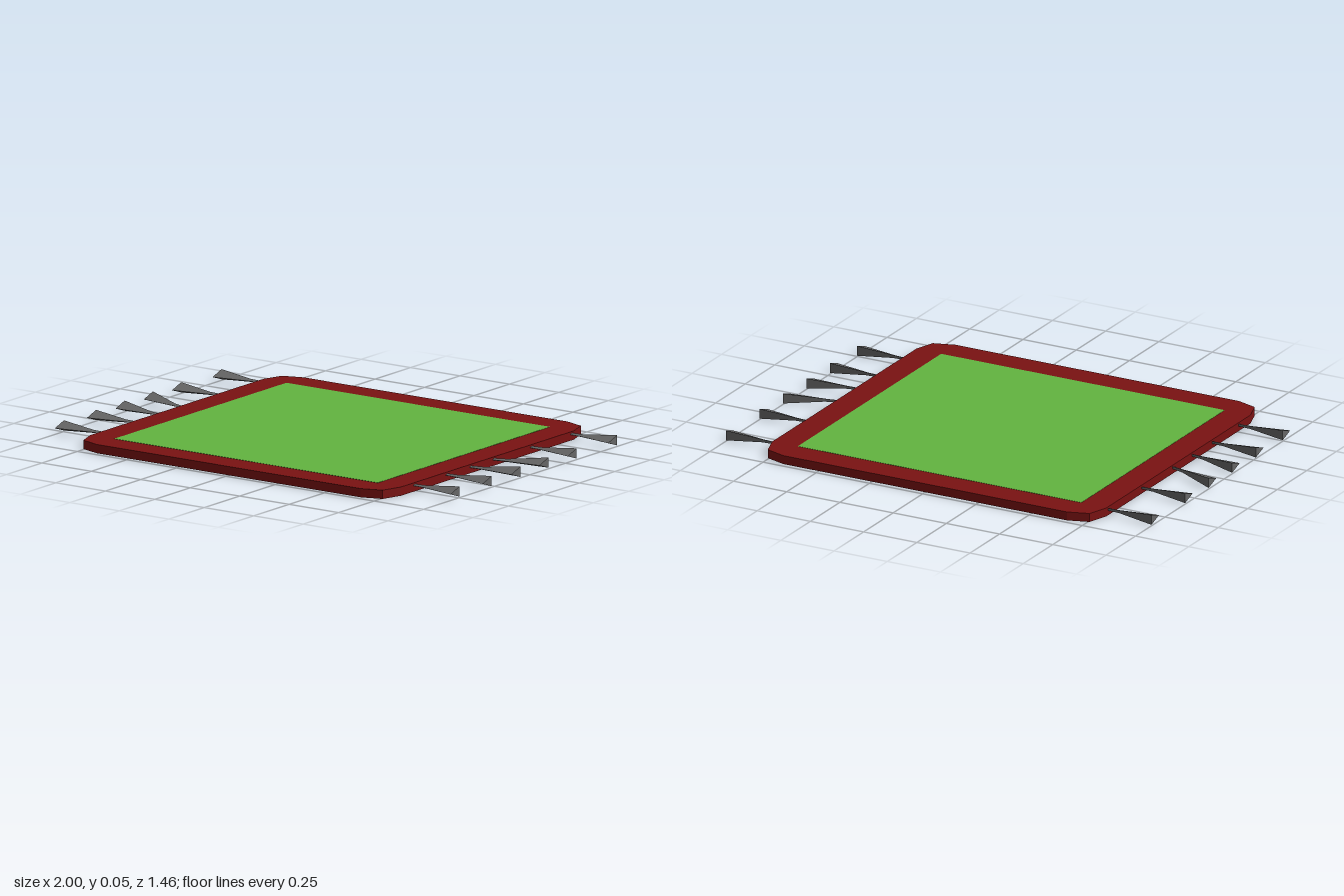
import * as THREE from 'three';

const THICK = 0.037;

const material = (color) => new THREE.MeshStandardMaterial({ color, flatShading: true });

// Three-sided tassel: triangular sections, apex towards +z, flaring outwards along +x
function tasselGeometry(rootZ, endZ) {
  const midZ = rootZ + (endZ - rootZ) * 0.25;
  // x, centre z, width in z, height in y
  const sections = [
    [0.775, rootZ, 0.012, 0.009],
    [0.84, midZ, 0.017, 0.013],
    [1.0, endZ, 0.064, 0.043],
  ];
  const y = 0.026;
  const rings = sections.map(([x, z, w, h]) => [
    [x, y, z + w / 2],
    [x, y - h / 2, z - w / 2],
    [x, y + h / 2, z - w / 2],
  ]);
  const pos = [];
  const tri = (a, b, c) => pos.push(...a, ...b, ...c);
  for (let i = 0; i < rings.length - 1; i++) {
    for (let j = 0; j < 3; j++) {
      const k = (j + 1) % 3;
      const [a, b] = [rings[i][j], rings[i][k]];
      const [c, d] = [rings[i + 1][j], rings[i + 1][k]];
      tri(a, b, d);
      tri(a, d, c);
    }
  }
  const first = rings[0];
  const last = rings[rings.length - 1];
  tri(first[0], first[2], first[1]);
  tri(last[0], last[1], last[2]);
  const geometry = new THREE.BufferGeometry();
  geometry.setAttribute('position', new THREE.Float32BufferAttribute(pos, 3));
  geometry.computeVertexNormals();
  return geometry;
}

export function createModel() {
  const rug = new THREE.Group();
  rug.name = 'rug';

  // Red slab with cut corners
  const corner = [[0.785, 0.61], [0.756, 0.699], [0.667, 0.728]];
  const mirrored = corner.slice().reverse();
  const outline = [
    ...corner,
    ...mirrored.map(([x, z]) => [-x, z]),
    ...corner.map(([x, z]) => [-x, -z]),
    ...mirrored.map(([x, z]) => [x, -z]),
  ].map(([x, z]) => new THREE.Vector2(x, z));
  const slabGeometry = new THREE.ExtrudeGeometry(new THREE.Shape(outline), {
    depth: THICK,
    bevelEnabled: false,
  });
  slabGeometry.rotateX(-Math.PI / 2);
  const slab = new THREE.Mesh(slabGeometry, material(0x7a1212));
  slab.name = 'border';
  rug.add(slab);

  // Green centre field, almost flush with the border
  const field = new THREE.Mesh(new THREE.BoxGeometry(1.332, 0.004, 1.214), material(0x62b440));
  field.name = 'centreField';
  field.position.y = THICK - 0.001;
  rug.add(field);

  // Tassels along both side edges: z at the rug, z at the tip
  const tassels = [
    [-0.59, -0.583], [-0.307, -0.298], [-0.04, -0.099],
    [0.122, 0.1], [0.289, 0.301], [0.516, 0.528],
  ];
  const grey = material(0x666666);
  for (const [side, sign] of [['left', 1], ['right', -1]]) {
    const fringe = new THREE.Group();
    fringe.name = `${side}Fringe`;
    tassels.forEach(([rootZ, endZ], i) => {
      const tassel = new THREE.Mesh(tasselGeometry(rootZ, endZ), grey);
      tassel.name = `${side}Tassel${i + 1}`;
      fringe.add(tassel);
    });
    fringe.scale.x = sign;
    rug.add(fringe);
  }

  return rug;
}
